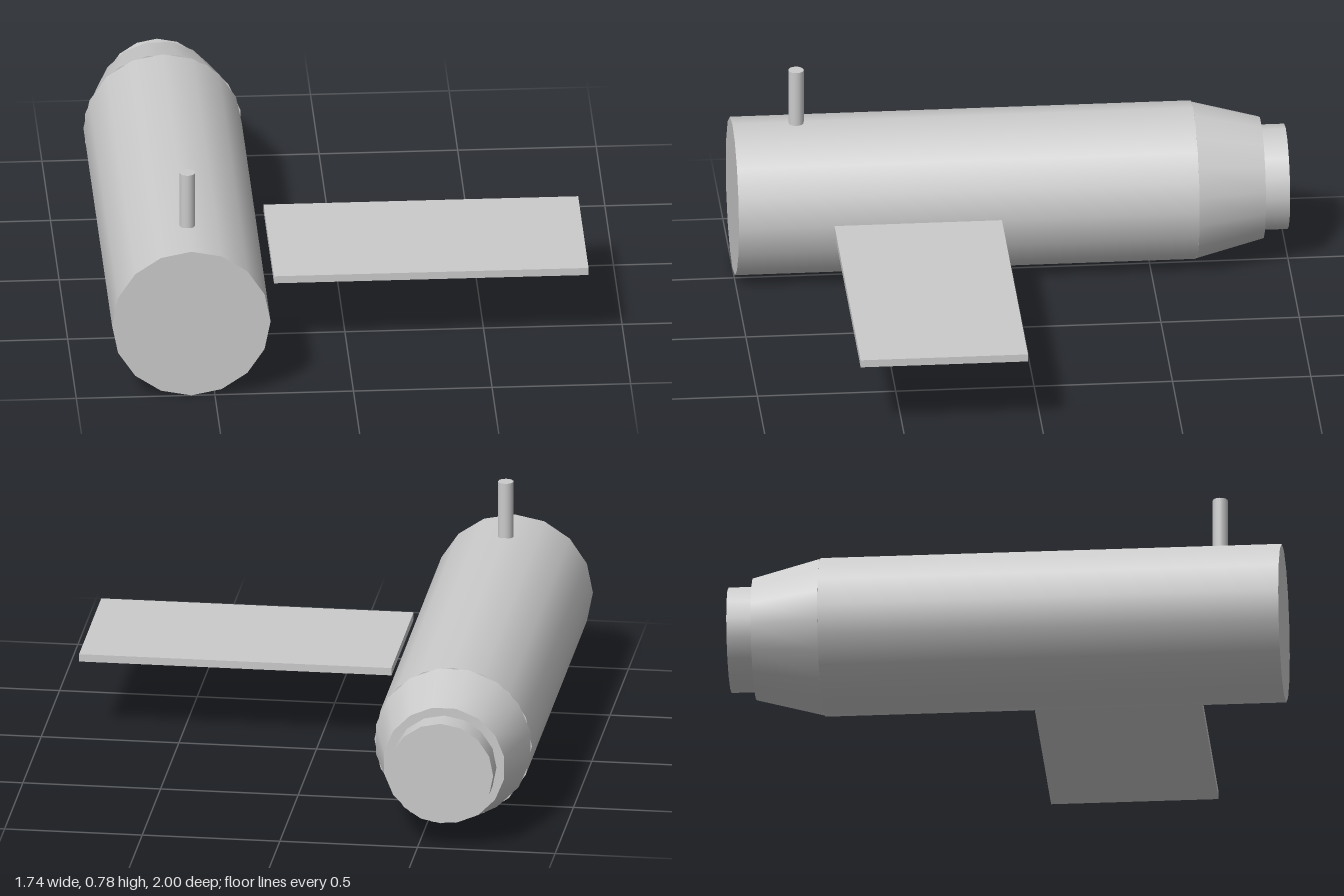
import * as THREE from 'three';

const SIDES = 16;
const AXIS_X = -0.585, AXIS_Y = 0.287;

export function createModel() {
  const model = new THREE.Group();
  model.name = 'tubeWithFin';
  const grey = new THREE.MeshStandardMaterial({ color: 0xcccccc });

  const add = (name, geometry, x, y, z) => {
    const mesh = new THREE.Mesh(geometry, grey);
    mesh.name = name;
    mesh.position.set(x, y, z);
    model.add(mesh);
  };

  // Section lying along z, from its front end to its back end
  const section = (name, frontZ, backZ, frontR, backR, turn = 0) => {
    const geometry = new THREE.CylinderGeometry(backR, frontR, frontZ - backZ, SIDES, 1, false, turn);
    geometry.rotateX(-Math.PI / 2);
    add(name, geometry, AXIS_X, AXIS_Y, (frontZ + backZ) / 2);
  };

  // Main tube, tapered tail (turned half a facet) and end cap
  section('body', 1, -0.665, 0.286, 0.286);
  section('tailCone', -0.665, -0.91, 0.286, 0.222, Math.PI / SIDES);
  section('endCap', -0.91, -1, 0.19, 0.19);

  // Upright peg on top, near the front
  add('peg', new THREE.CylinderGeometry(0.028, 0.028, 0.21, SIDES), AXIS_X, 0.675, 0.77);

  // Flat fin standing just clear of the left side
  add('fin', new THREE.BoxGeometry(1.135, 0.028, 0.605), 0.302, 0.29, 0.355);

  return model;
}
